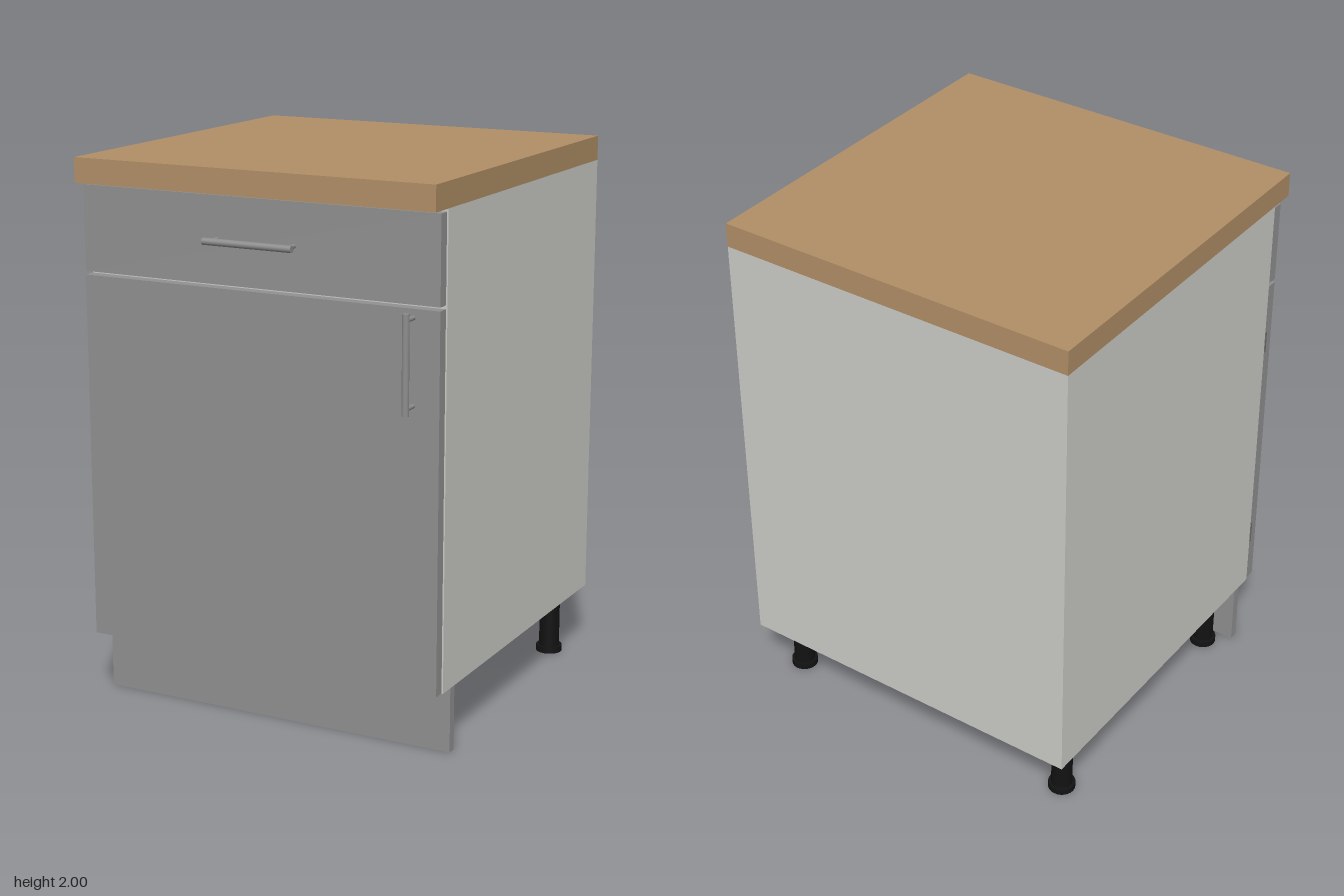
import * as THREE from 'three';

const mat = (name, color) => {
  const m = new THREE.MeshStandardMaterial({ color });
  m.name = name;
  return m;
};

export function createModel() {
  const wood = mat('wood', 0xb08e66);
  const panel = mat('light panel', 0xcbcbc6);
  const grey = mat('front grey', 0x909090);
  const metal = mat('handle metal', 0x8c8c8c);
  const hingeMetal = mat('hinge metal', 0x707070);
  const black = mat('leg black', 0x121212);

  const model = new THREE.Group();
  model.name = 'baseCabinet';

  // Box given by its limits on each axis
  const box = (name, m, [x0, x1], [y0, y1], [z0, z1], parent = model) => {
    const mesh = new THREE.Mesh(new THREE.BoxGeometry(x1 - x0, y1 - y0, z1 - z0), m);
    mesh.position.set((x0 + x1) / 2, (y0 + y1) / 2, (z0 + z1) / 2);
    mesh.name = name;
    parent.add(mesh);
    return mesh;
  };

  const W = 0.695, T = 0.037, BACK = -0.71, FRONT = 0.595, LOW = 0.238, HIGH = 1.91;

  box('worktop', wood, [-W, W], [HIGH, 2], [BACK, 0.69]);

  // Carcass panels
  const carcass = new THREE.Group();
  carcass.name = 'carcass';
  model.add(carcass);
  box('rightSide', panel, [-W, -W + T], [LOW, HIGH], [BACK, FRONT], carcass);
  box('leftSide', panel, [W - T, W], [LOW, HIGH], [BACK, FRONT], carcass);
  box('bottom', panel, [-W + T, W - T], [LOW, LOW + T], [BACK, FRONT], carcass);
  box('back', panel, [-W + T, W - T], [LOW + T, HIGH], [BACK, BACK + 0.02], carcass);
  box('topRail', panel, [-W + T, W - T], [HIGH - T, HIGH], [0.4, FRONT], carcass);
  box('middleRail', panel, [-W + T, W - T], [1.565, 1.602], [0.4, FRONT], carcass);

  // Fronts and plinth
  box('drawerFront', grey, [-0.692, 0.692], [1.592, 1.9], [0.6, 0.642]);
  box('door', grey, [-0.692, 0.692], [0.241, 1.579], [0.6, 0.642]);
  box('plinth', grey, [-W, W], [0, LOW], [0.502, 0.535]);

  // Hinge plates in the gap between door and carcass
  for (const y of [0.473, 1.347]) {
    box('hinge', hingeMetal, [-0.698, -0.64], [y - 0.045, y + 0.045], [0.594, 0.602]);
  }

  // Bar handle: a round bar on two posts, built along x
  const makeHandle = (name, x, y) => {
    const handle = new THREE.Group();
    handle.name = name;
    const bar = new THREE.Mesh(new THREE.CylinderGeometry(0.0125, 0.0125, 0.344, 20), metal);
    bar.name = 'handleBar';
    bar.rotation.z = Math.PI / 2;
    handle.add(bar);
    for (const s of [-1, 1]) {
      const post = new THREE.Mesh(new THREE.CylinderGeometry(0.008, 0.008, 0.058, 14), metal);
      post.name = 'handlePost';
      post.rotation.x = Math.PI / 2;
      post.position.set(s * 0.149, 0, -0.029);
      handle.add(post);
    }
    handle.position.set(x, y, 0.6985);
    model.add(handle);
    return handle;
  };
  makeHandle('drawerHandle', 0, 1.749);
  makeHandle('doorHandle', 0.595, 1.4).rotation.z = Math.PI / 2;

  // Legs with wider feet
  for (const x of [-0.605, 0.605]) {
    for (const z of [-0.57, 0.432]) {
      const leg = new THREE.Group();
      leg.name = 'leg';
      const shaft = new THREE.Mesh(new THREE.CylinderGeometry(0.039, 0.039, 0.22, 24), black);
      shaft.name = 'legShaft';
      shaft.position.y = 0.128;
      const foot = new THREE.Mesh(new THREE.CylinderGeometry(0.05, 0.05, 0.024, 24), black);
      foot.name = 'legFoot';
      foot.position.y = 0.012;
      leg.add(shaft, foot);
      leg.position.set(x, 0, z);
      model.add(leg);
    }
  }

  return model;
}
